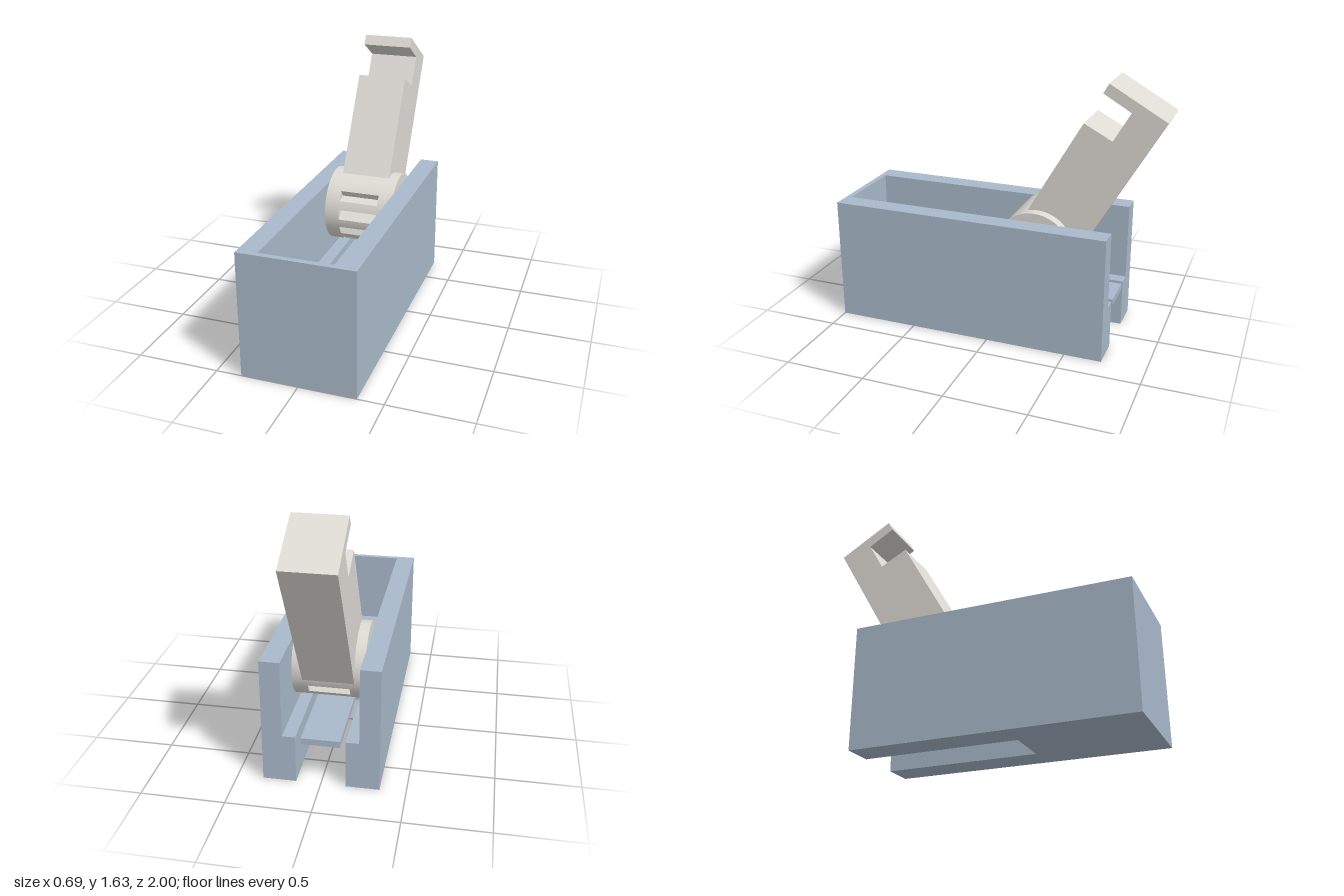
import * as THREE from 'three';
import { toCreasedNormals } from 'three/addons/utils/BufferGeometryUtils.js';

const baseBlue = new THREE.MeshStandardMaterial({ color: 0xa9b9ca });
const leverCream = new THREE.MeshStandardMaterial({ color: 0xdedad4 });

// Pivot axis of the lever
const PIVOT_Y = 0.593, PIVOT_Z = -0.255, DRUM_R = 0.235;

// Box given by its limits on each axis
function block(name, x0, x1, y0, y1, z0, z1) {
  const mesh = new THREE.Mesh(new THREE.BoxGeometry(x1 - x0, y1 - y0, z1 - z0), baseBlue);
  mesh.position.set((x0 + x1) / 2, (y0 + y1) / 2, (z0 + z1) / 2);
  mesh.name = name;
  return mesh;
}

// Side profile of [z, y] points, extruded symmetrically across x
function sideExtrude(name, points, width, crease) {
  const shape = new THREE.Shape(points.map(([z, y]) => new THREE.Vector2(z, y)));
  let geo = new THREE.ExtrudeGeometry(shape, { depth: width, bevelEnabled: false });
  geo.translate(0, 0, -width / 2);
  geo.rotateY(-Math.PI / 2);
  if (crease) geo = toCreasedNormals(geo, crease);
  const mesh = new THREE.Mesh(geo, leverCream);
  mesh.name = name;
  return mesh;
}

// Cylinder along x between two limits, centred on the pivot
function disc(name, radius, x0, x1) {
  const geo = new THREE.CylinderGeometry(radius, radius, x1 - x0, 72);
  geo.rotateZ(Math.PI / 2);
  const mesh = new THREE.Mesh(geo, leverCream);
  mesh.position.set((x0 + x1) / 2, PIVOT_Y, PIVOT_Z);
  mesh.name = name;
  return mesh;
}

function createBase() {
  const base = new THREE.Group();
  base.name = 'base';
  base.add(
    block('leftWall', 0.225, 0.345, 0, 0.775, -0.73, 1),
    block('rightWall', -0.345, -0.225, 0, 0.775, -0.73, 1),
    block('frontWall', -0.225, 0.225, 0, 0.775, 0.965, 1),
    block('floor', -0.225, 0.225, 0, 0.3, 0.243, 0.965),
    block('leftLedge', 0.147, 0.225, 0, 0.3, -0.73, 0.243),
    block('rightLedge', -0.225, -0.147, 0, 0.3, -0.73, 0.243),
    // Springy strip hanging over the open channel
    block('springTongue', -0.115, 0.115, 0.26, 0.3, -0.73, 0.243)
  );
  return base;
}

function createLever() {
  const lever = new THREE.Group();
  lever.name = 'lever';

  // Arm leaning back, with the hooked end
  lever.add(sideExtrude('arm', [
    [-0.126, 0.699], [-0.525, 1.39], [-0.695, 1.30], [-0.795, 1.473],
    [-0.63, 1.57], [-0.662, 1.628], [-1.0, 1.435], [-0.463, 0.505]
  ], 0.31));

  // Middle of the drum, with ratchet notches every 30 degrees along its front and underside
  const profile = [];
  const at = (deg, r) => {
    const a = THREE.MathUtils.degToRad(deg);
    profile.push([PIVOT_Z + r * Math.cos(a), PIVOT_Y + r * Math.sin(a)]);
  };
  for (let i = 0; i < 7; i++) {
    const a = -148 + i * 30;
    at(a - 8, DRUM_R);
    at(a + 4, 0.185);
    const end = i < 6 ? a + 22 : 204;
    const steps = Math.round((end - a - 8) / 4);
    for (let k = 0; k < steps; k++) at(a + 8 + (end - a - 8) * k / steps, DRUM_R);
  }
  lever.add(sideExtrude('ratchetDrum', profile, 0.25, 0.3));

  // Plain drum rims and the pivot bosses that sit in the walls
  lever.add(
    disc('leftRim', DRUM_R, 0.125, 0.217),
    disc('rightRim', DRUM_R, -0.217, -0.125),
    disc('leftPivot', 0.155, 0.217, 0.235),
    disc('rightPivot', 0.155, -0.235, -0.217)
  );
  return lever;
}

export function createModel() {
  const model = new THREE.Group();
  model.name = 'leverInHousing';
  model.add(createBase(), createLever());
  return model;
}
